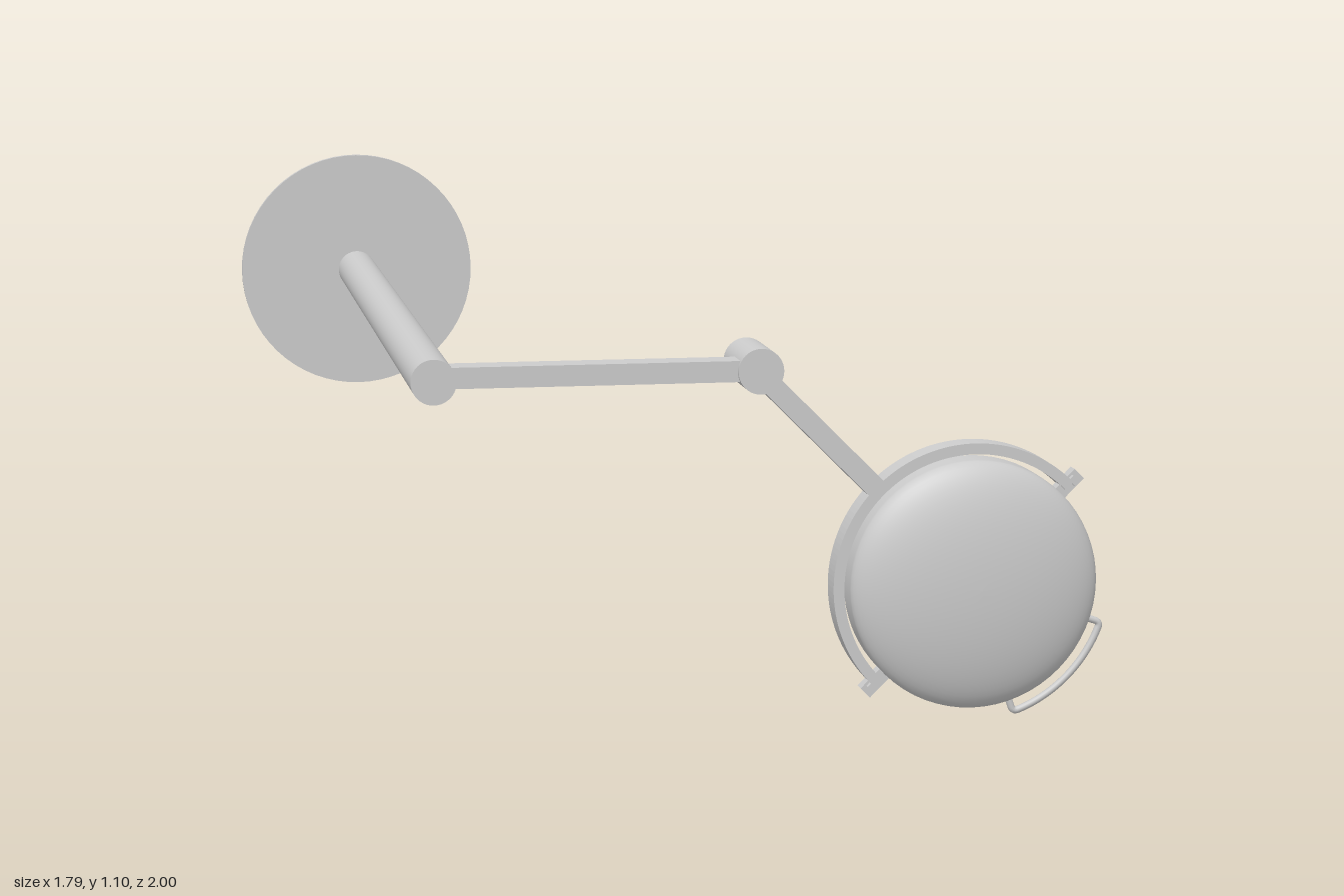
import * as THREE from 'three';

const grey = new THREE.MeshStandardMaterial({ color: 0xcccccc });
const lens = new THREE.MeshStandardMaterial({ color: 0x4a4a40 });
const grip = new THREE.MeshStandardMaterial({ color: 0xb4b49c });

function add(parent, name, geometry, material = grey) {
  const mesh = new THREE.Mesh(geometry, material);
  mesh.name = name;
  parent.add(mesh);
  return mesh;
}

// Cylinder along z between two depths
function rod(parent, name, x, y, z0, z1, r, material = grey, sides = 40) {
  const g = new THREE.CylinderGeometry(r, r, z1 - z0, sides).rotateX(Math.PI / 2);
  g.translate(x, y, (z0 + z1) / 2);
  return add(parent, name, g, material);
}

// Flat bar between two points in the xy plane
function bar(parent, name, [x0, y0], [x1, y1], width, z0, z1) {
  const g = new THREE.BoxGeometry(Math.hypot(x1 - x0, y1 - y0), width, z1 - z0);
  g.rotateZ(Math.atan2(y1 - y0, x1 - x0));
  g.translate((x0 + x1) / 2, (y0 + y1) / 2, (z0 + z1) / 2);
  return add(parent, name, g);
}

const polar = (r, a) => new THREE.Vector2(r * Math.cos(a), r * Math.sin(a));

// Rounded wedge window between two spokes
function wedge(angle) {
  const r0 = 0.065, r1 = 0.222, half = 0.02, c = 0.03;
  const off = r => Math.asin(half / r);
  const at = (r, side, inset = 0) =>
    polar(r, angle + side * (Math.PI / 5 - off(r) - inset / r));
  const p = new THREE.Path();
  const start = at(r0 + 0.015, -1);
  p.moveTo(start.x, start.y);
  const line = v => p.lineTo(v.x, v.y);
  const curve = (m, v) => p.quadraticCurveTo(m.x, m.y, v.x, v.y);
  line(at(r1 - c, -1));
  curve(at(r1, -1), at(r1, -1, c));
  curve(polar(r1 * 1.04, angle), at(r1, 1, c));
  curve(at(r1, 1), at(r1 - c, 1));
  line(at(r0 + 0.015, 1));
  curve(polar(r0 * 0.85, angle), start);
  return p;
}

function buildHead() {
  const head = new THREE.Group();
  head.name = 'lampHead';
  const R = 0.276;

  // Rim and shallow domed cover
  const profile = [new THREE.Vector2(R, 0.8)];
  for (let i = 0; i <= 16; i++) {
    const t = (i / 16) * Math.PI / 2;
    profile.push(new THREE.Vector2(R * Math.cos(t), 0.86 + 0.076 * Math.sin(t)));
  }
  add(head, 'domedHousing', new THREE.LatheGeometry(profile, 64).rotateX(Math.PI / 2));

  // Back frame with five windows, dark lenses behind it
  const frame = new THREE.Shape().absarc(0, 0, R, 0, Math.PI * 2);
  for (let i = 0; i < 5; i++) {
    frame.holes.push(wedge(THREE.MathUtils.degToRad(60 + 72 * i)));
  }
  add(head, 'backFrame', new THREE.ExtrudeGeometry(frame,
    { depth: 0.012, bevelEnabled: false, curveSegments: 32 }).translate(0, 0, 0.8));
  add(head, 'lensPanel', new THREE.CircleGeometry(0.26, 48)
    .rotateY(Math.PI).translate(0, 0, 0.806), lens);

  // Central sterile handle
  rod(head, 'handleSocket', 0, 0, 0.75, 0.804, 0.023, grip, 24);
  rod(head, 'handleGrip', 0, 0, 0.65, 0.76, 0.011, grip, 24);

  // Half-round yoke
  const a0 = Math.PI / 4, a1 = Math.PI * 5 / 4;
  const arc = new THREE.Shape().absarc(0, 0, 0.312, a0, a1, false);
  arc.absarc(0, 0, 0.288, a1, a0, true);
  add(head, 'yoke', new THREE.ExtrudeGeometry(arc,
    { depth: 0.06, bevelEnabled: false, curveSegments: 40 }).translate(0, 0, 0.8));

  // Pivots at both yoke ends
  for (const a of [a0, a1]) {
    bar(head, 'pivotPin', polar(0.26, a).toArray(), polar(0.335, a).toArray(), 0.03, 0.82, 0.85);
    bar(head, 'pivotNut', polar(0.308, a).toArray(), polar(0.322, a).toArray(), 0.02, 0.808, 0.862);
  }

  // Side loop handle
  const loop = new THREE.CurvePath();
  const z = 0.838, b0 = -0.325, b1 = -Math.PI / 2 - b0, r = 0.311;
  const v = (rad, a) => new THREE.Vector3(rad * Math.cos(a), rad * Math.sin(a), z);
  const bend = 0.04, pts = [];
  for (let i = 0; i <= 16; i++) pts.push(v(r, b0 - bend + (b1 - b0 + 2 * bend) * i / 16));
  loop.add(new THREE.LineCurve3(v(0.265, b0), v(r - 0.012, b0)));
  loop.add(new THREE.QuadraticBezierCurve3(v(r - 0.012, b0), v(r, b0), pts[0]));
  loop.add(new THREE.CatmullRomCurve3(pts));
  loop.add(new THREE.QuadraticBezierCurve3(pts[16], v(r, b1), v(r - 0.012, b1)));
  loop.add(new THREE.LineCurve3(v(r - 0.012, b1), v(0.265, b1)));
  add(head, 'loopHandle', new THREE.TubeGeometry(loop, 80, 0.008, 10));

  head.position.set(0.592, 0.307, 0);
  return head;
}

export function createModel() {
  const model = new THREE.Group();
  model.name = 'surgicalLamp';

  // Mounting plate and long column
  rod(model, 'mountingPlate', -0.6, 0.803, -1, -0.98, 0.3, grey, 64);
  rod(model, 'column', -0.6, 0.803, -0.99, 1, 0.048);

  // Two-part arm with elbow joint
  bar(model, 'upperArm', [-0.6, 0.803], [0.1, 0.803], 0.045, 0.885, 0.95);
  rod(model, 'elbowJoint', 0.098, 0.803, 0.785, 0.96, 0.049);
  bar(model, 'lowerArm', [0.098, 0.801], [0.378, 0.521], 0.045, 0.8, 0.86);

  model.add(buildHead());
  return model;
}
